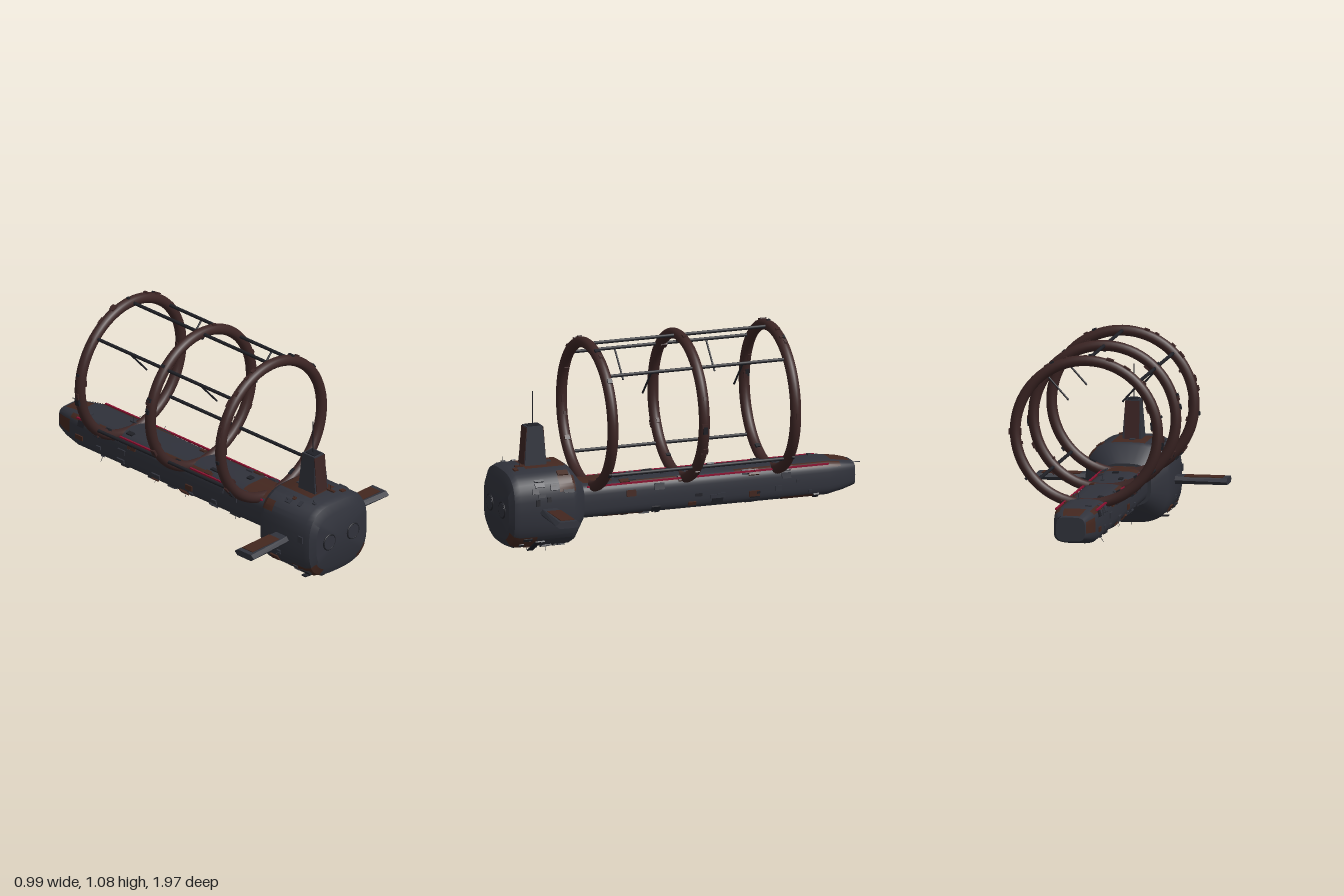
import * as THREE from 'three';
import { toCreasedNormals } from 'three/addons/utils/BufferGeometryUtils.js';

const material = (name, color) => Object.assign(new THREE.MeshStandardMaterial({ color }), { name });

// Small seeded generator, returns values from a to b
let seed = 7;
function rnd(a, b) {
  seed = (seed * 16807) % 2147483647;
  return a + (b - a) * (seed / 2147483647);
}

// Hull stations: z, half width, half height, centre y
const HEAD = { n: 3, st: [[0.535, 0, 0, 0.24], [0.535, 0.135, 0.11, 0.24], [0.6, 0.212, 0.195, 0.24], [0.625, 0.224, 0.208, 0.24],
  [0.915, 0.224, 0.208, 0.24], [0.945, 0.212, 0.195, 0.24], [0.967, 0.18, 0.15, 0.24], [0.967, 0, 0, 0.24]] };
const BODY = { n: 4, st: [[-0.968, 0, 0, 0.245], [-0.968, 0.075, 0.062, 0.245], [-0.9, 0.1, 0.078, 0.245],
  [-0.81, 0.115, 0.093, 0.243], [0.56, 0.115, 0.093, 0.243]] };

const power = (v, n) => Math.sign(v) * Math.abs(v) ** (2 / n);
const pointOn = ([z, w, h, cy], n, a, grow = 0) =>
  [(w + grow) * power(Math.cos(a), n), cy + (h + grow) * power(Math.sin(a), n), z];

function stationAt(st, z) {
  const i = Math.max(1, st.findIndex((s) => s[0] > z));
  const a = st[i - 1], b = st[i], t = (z - a[0]) / (b[0] - a[0]);
  return a.map((v, k) => v + (b[k] - v) * t);
}

// Skin over rounded-square cross-sections, optionally only part of the way round
function loft(st, n, a0 = 0, a1 = Math.PI * 2, seg = 40, grow = 0) {
  const pos = [], idx = [];
  st.forEach((s) => {
    for (let j = 0; j <= seg; j++) pos.push(...pointOn(s, n, a0 + (a1 - a0) * j / seg, grow));
  });
  for (let i = 0; i < st.length - 1; i++) for (let j = 0; j < seg; j++) {
    const a = i * (seg + 1) + j, c = a + seg + 1;
    idx.push(a, a + 1, c, a + 1, c + 1, c);
  }
  const g = new THREE.BufferGeometry();
  g.setAttribute('position', new THREE.Float32BufferAttribute(pos, 3));
  g.setIndex(idx);
  return toCreasedNormals(g, 0.5);
}

export function createModel() {
  const model = new THREE.Group();
  const grey = material('hull grey', 0x30323b);
  const brown = material('ring brown', 0x3c2524);
  const rust = material('rust patch', 0x43271f);
  const dark = material('dark metal', 0x1f2026);
  const red = material('red strip', 0x8a1030);

  function add(name, geometry, mat, x = 0, y = 0, z = 0, parent = model) {
    const m = new THREE.Mesh(geometry, mat);
    m.name = name;
    m.position.set(x, y, z);
    parent.add(m);
    return m;
  }
  function rod(name, a, b, r, mat) {
    const A = new THREE.Vector3(...a), B = new THREE.Vector3(...b), d = B.clone().sub(A);
    const m = add(name, new THREE.CylinderGeometry(r, r, d.length(), 8), mat);
    m.position.copy(A.add(B).multiplyScalar(0.5));
    m.quaternion.setFromUnitVectors(new THREE.Vector3(0, 1, 0), d.normalize());
  }
  const deg = Math.PI / 180;
  function patch(name, hull, z0, z1, a0, a1) {
    const st = [stationAt(hull.st, z0), ...hull.st.filter((s) => s[0] > z0 && s[0] < z1), stationAt(hull.st, z1)];
    add(name, loft(st, hull.n, a0 * deg, a1 * deg, 12, 0.002), rust);
  }

  // Hull
  add('head', loft(HEAD.st, HEAD.n), grey);
  add('body', loft(BODY.st, BODY.n), grey);

  // Rust patches: head crown, jaw corners, flanks, then the body
  patch('crownPatch', HEAD, 0.62, 0.84, 76, 104);
  patch('jawPatch', HEAD, 0.82, 0.962, 208, 240);
  patch('jawPatch', HEAD, 0.82, 0.962, 300, 332);
  patch('cheekPatch', HEAD, 0.61, 0.7, 20, 50);
  patch('cheekPatch', HEAD, 0.61, 0.68, 135, 155);
  patch('bellyPatch', HEAD, 0.66, 0.8, 255, 285);
  for (const [z0, z1, a0, a1] of [[-0.88, -0.6, 28, 62], [-0.86, -0.62, 122, 150], [-0.95, -0.84, 75, 105],
    [-0.5, -0.3, 40, 66], [-0.2, 0.14, 118, 148], [0.02, 0.3, 32, 60], [0.36, 0.52, 70, 128],
    [-0.96, -0.86, 160, 185], [-0.4, -0.1, 225, 262], [0.2, 0.42, 275, 315], [-0.75, -0.55, 280, 325]]) {
    patch('bodyPatch', BODY, z0, z1, a0, a1);
  }

  // Conning tower and mast
  const tower = new THREE.CylinderGeometry(0.036, 0.05, 0.21, 4, 1).rotateY(Math.PI / 4).toNonIndexed();
  tower.scale(Math.SQRT2, 1, Math.SQRT2 * 1.2);
  tower.computeVertexNormals();
  add('tower', tower, grey, 0, 0.545, 0.77);
  for (const s of [1, -1]) {
    const plate = add('towerPlate', new THREE.BoxGeometry(0.076, 0.2, 0.004), brown, 0, 0.545, 0.77 + s * 0.0525);
    plate.rotation.x = -s * 0.08;
  }
  add('towerCap', new THREE.BoxGeometry(0.05, 0.008, 0.065), dark, 0, 0.65, 0.77);
  rod('mast', [0, 0.64, 0.77], [0, 0.83, 0.77], 0.0025, dark);

  for (const s of [1, -1]) {
    // Side fins, broader at the tip
    const fin = new THREE.BufferGeometry();
    const pos = [], idx = [];
    for (const [x, half, t] of [[0.2, 0.052, 0.02], [0.497, 0.069, 0.017]]) {
      for (const [u, v] of [[1, 0], [0.7, 1], [-0.7, 1], [-1, 0], [-0.7, -1], [0.7, -1]]) pos.push(x * s, 0.242 + v * t, 0.76 + u * half);
    }
    for (let j = 0; j < 6; j++) {
      const k = (j + 1) % 6;
      idx.push(j, j + 6, k, k, j + 6, k + 6);
    }
    for (let j = 1; j < 5; j++) idx.push(6, 6 + j + 1, 6 + j);
    if (s > 0) for (let j = 0; j < idx.length; j += 3) [idx[j + 1], idx[j + 2]] = [idx[j + 2], idx[j + 1]];
    // Wind outwards on whichever side is built
    for (let j = 0; j < idx.length; j += 3) {
      const p = [0, 1, 2].map((k) => new THREE.Vector3().fromArray(pos, idx[j + k] * 3));
      const n = p[1].clone().sub(p[0]).cross(p[2].clone().sub(p[0]));
      if (n.dot(p[0].add(p[1]).add(p[2]).divideScalar(3).sub(new THREE.Vector3(0.35 * s, 0.242, 0.76))) < 0) {
        [idx[j + 1], idx[j + 2]] = [idx[j + 2], idx[j + 1]];
      }
    }
    fin.setAttribute('position', new THREE.Float32BufferAttribute(pos, 3));
    fin.setIndex(idx);
    add('fin', toCreasedNormals(fin, 0.2), grey);
    add('finPatch', new THREE.BoxGeometry(0.2, 0.004, 0.075), rust, s * 0.37, 0.261, 0.755);

    // Front portholes
    add('portholeRim', new THREE.TorusGeometry(0.041, 0.004, 8, 32), dark, s * 0.087, 0.24, 0.969);
    add('porthole', new THREE.CylinderGeometry(0.038, 0.038, 0.008, 32).rotateX(Math.PI / 2), grey, s * 0.087, 0.24, 0.969);

    // Red edge strips
    add('redStrip', new THREE.BoxGeometry(0.01, 0.008, 1.32), red, s * 0.106, 0.323, -0.15);

    // Long rods at the ring diagonals, and inward prongs between rings
    for (const y of [0.942, 0.416]) rod('longRod', [s * 0.264, y, -0.53], [s * 0.264, y, 0.47], 0.009, dark);
    for (const z of [0.22, -0.28]) rod('prong', [s * 0.264, 0.94, z], [s * 0.14, 0.803, z], 0.005, dark);
  }
  rod('topRod', [0, 1.052, -0.53], [0, 1.052, 0.47], 0.009, dark);

  // Rings with small bolted plates
  for (const z of [0.47, -0.03, -0.53]) {
    const ring = new THREE.Group();
    ring.name = 'ring';
    ring.position.set(0, 0.68, z);
    model.add(ring);
    add('hoop', new THREE.TorusGeometry(0.371, 0.028, 16, 72), brown, 0, 0, 0, ring);
    for (let i = 0; i < 22; i++) {
      const a = rnd(-0.35, 1.35) * Math.PI, r = 0.371 + (i % 4 ? 0.027 : -0.027);
      const m = add('ringPlate', new THREE.BoxGeometry(0.012, rnd(0.012, 0.04), rnd(0.012, 0.03)), i % 3 ? brown : dark,
        r * Math.cos(a), r * Math.sin(a), rnd(-0.008, 0.008), ring);
      m.rotation.z = a;
    }
  }

  // Plates and hair-thin aerials scattered over the hull
  function scatter(name, hull, z0, z1, count) {
    for (let i = 0; i < count; i++) {
      const a = rnd(0, Math.PI * 2), s = stationAt(hull.st, rnd(z0, z1));
      const [x, y, z] = pointOn(s, hull.n, a);
      const [x2, y2] = pointOn(s, hull.n, a + 0.02);
      const normal = Math.atan2(x - x2, y2 - y);
      const plate = add(name + 'Plate', new THREE.BoxGeometry(0.014, rnd(0.012, 0.035), rnd(0.015, 0.06)),
        [grey, dark, rust, grey][i % 4], x, y, z);
      plate.rotation.z = normal;
      if (i % 6 === 0) {
        const l = rnd(0.02, 0.035);
        rod(name + 'Aerial', [x, y, z], [x + l * Math.cos(normal), Math.max(0.002, y + l * Math.sin(normal)), z], 0.0012, dark);
      }
    }
  }
  scatter('head', HEAD, 0.63, 0.91, 38);
  scatter('body', BODY, -0.8, 0.5, 70);

  // Chin skids, brow plate and tail aerial
  add('chinSkid', new THREE.BoxGeometry(0.18, 0.006, 0.03), dark, -0.075, 0.028, 0.86).rotation.z = -0.08;
  add('chinSkid', new THREE.BoxGeometry(0.14, 0.006, 0.03), dark, 0.155, 0.053, 0.82).rotation.z = 0.55;
  add('browPlate', new THREE.BoxGeometry(0.05, 0.03, 0.03), rust, -0.125, 0.355, 0.925).rotation.z = 0.6;
  rod('tailAerial', [0.055, 0.31, -0.95], [0.06, 0.305, -1], 0.002, dark);
  rod('keelAerial', [0, 0.035, 0.75], [0.01, 0, 0.75], 0.0015, dark);
  return model;
}
